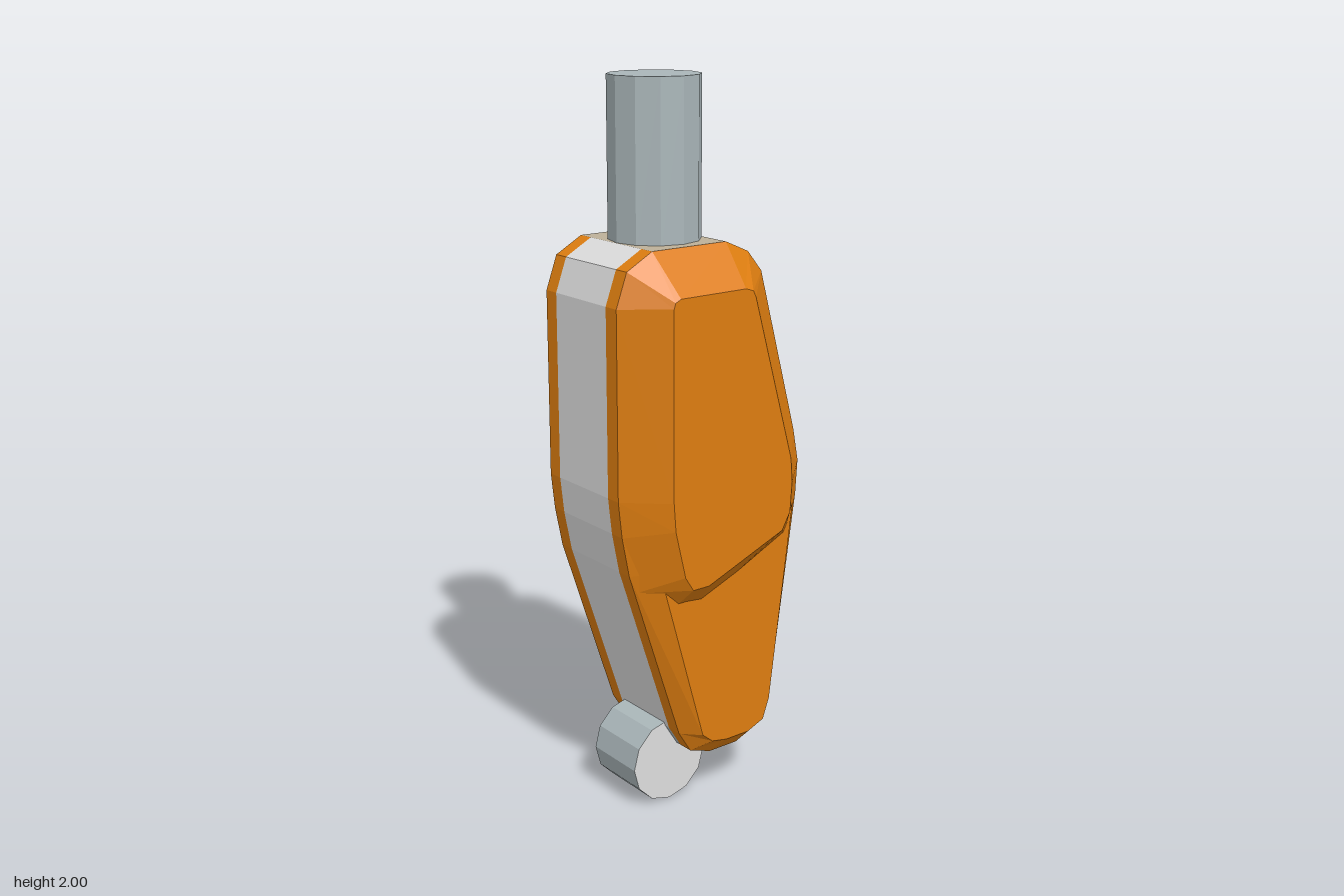
import * as THREE from 'three';

const mat = (name, color) => Object.assign(new THREE.MeshStandardMaterial({ color }), { name });

// Side outlines as [z, y], running down the front and up the back
const outline = [
  [0.196, 1.58], [0.275, 1.537], [0.308, 1.447], [0.308, 0.943], [0.297, 0.843], [0.275, 0.731],
  [0.11, 0.228], [0.07, 0.164], [0, 0.14], [-0.095, 0.14], [-0.18, 0.175], [-0.217, 0.25],
  [-0.302, 0.843], [-0.308, 0.94], [-0.29, 1.033], [-0.164, 1.49], [-0.117, 1.547], [-0.042, 1.58],
];
const upperRim = [
  [0.196, 1.58], [0.275, 1.537], [0.308, 1.447], [0.308, 0.943], [0.297, 0.843], [0.258, 0.68],
  [0.16, 0.59], [0.06, 0.58], [-0.262, 0.73], [-0.302, 0.843], [-0.308, 0.94], [-0.29, 1.033],
  [-0.164, 1.49], [-0.117, 1.547], [-0.042, 1.58],
];
const upperFace = [
  [0.18, 1.473], [0.197, 1.465], [0.202, 1.45], [0.202, 0.943], [0.196, 0.864], [0.164, 0.731],
  [0.138, 0.69], [0.085, 0.69], [-0.17, 0.79], [-0.196, 0.837], [-0.202, 0.92], [-0.196, 0.99],
  [-0.064, 1.447], [-0.055, 1.465], [-0.03, 1.473],
];
const lowerRim = outline.slice(4, 13);
const lowerFace = [
  [0.238, 0.843], [0.21, 0.74], [0.064, 0.228], [0.03, 0.2], [-0.02, 0.19], [-0.1, 0.19],
  [-0.154, 0.212], [-0.175, 0.27], [-0.25, 0.843],
];

function flatGeometry(triangles) {
  const g = new THREE.BufferGeometry();
  g.setAttribute('position', new THREE.Float32BufferAttribute(triangles.flat(2), 3));
  g.computeVertexNormals();
  return g;
}

// Strip of quads between loop a at xa and loop b at xb, for the kept segments
function band(a, xa, b, xb, keep = () => true) {
  const out = [];
  a.forEach((p, i) => {
    if (!keep(i)) return;
    const j = (i + 1) % a.length;
    const A = [xa, p[1], p[0]], B = [xa, a[j][1], a[j][0]];
    const C = [xb, b[j][1], b[j][0]], D = [xb, b[i][1], b[i][0]];
    out.push([A, B, C], [A, C, D]);
  });
  return out;
}

// Flat cap facing +x
function cap(loop, x) {
  const v = loop.map(([z, y]) => [x, y, z]);
  return v.slice(2).map((p, i) => [v[0], v[i + 1], p]);
}

const mirror = (tris) => tris.map((t) => t.map(([x, y, z]) => [-x, y, z]).reverse());

export function createModel() {
  const orange = mat('orange shell', 0xdd7d10);
  const pale = mat('pale grey', 0xdddddd);
  const steel = mat('blue grey steel', 0xaab6b9);
  const tan = mat('tan grey top', 0xbdb099);
  const group = new THREE.Group();
  const add = (name, geometry, material) => {
    const m = new THREE.Mesh(geometry, material);
    m.name = name;
    group.add(m);
    return m;
  };

  // Central stripe, with its own underside and top plate
  const top = outline.length - 1;
  const isBottom = (i) => i >= 6 && i <= 10;
  add('centreStripe', flatGeometry(band(outline, -0.11, outline, 0.11, (i) => i !== top && !isBottom(i))), pale);
  add('stripeUnderside', flatGeometry(band(outline, -0.11, outline, 0.11, isBottom)), steel);
  add('topPlate', flatGeometry(band(outline, -0.155, outline, 0.155, (i) => i === top)), tan);

  // Shell halves: straight edge, wide upper bevel and narrow lower bevel
  const parts = {
    ShellEdge: band(outline, 0.11, outline, 0.155, (i) => i !== top),
    UpperShell: [...band(upperRim, 0.155, upperFace, 0.252), ...cap(upperFace, 0.252)],
    LowerShell: [...band(lowerRim, 0.155, lowerFace, 0.203), ...cap(lowerFace, 0.203)],
  };
  for (const [name, tris] of Object.entries(parts)) {
    add('left' + name, flatGeometry(tris), orange);
    add('right' + name, flatGeometry(mirror(tris)), orange);
  }

  // Faceted shaft at the top
  const shaft = new THREE.CylinderGeometry(0.123, 0.123, 0.45, 12).toNonIndexed();
  shaft.computeVertexNormals();
  add('topShaft', shaft, steel).position.set(0, 1.775, 0.07);

  // Pivot roller at the foot, with pale ends
  const roller = new THREE.CylinderGeometry(0.122, 0.122, 0.186, 12);
  const groups = roller.groups.map((g) => ({ ...g }));
  const flatRoller = roller.toNonIndexed();
  flatRoller.clearGroups();
  groups.forEach((g) => flatRoller.addGroup(g.start, g.count, g.materialIndex));
  flatRoller.computeVertexNormals();
  flatRoller.rotateZ(Math.PI / 2);
  add('footRoller', flatRoller, [steel, pale, pale]).position.set(0, 0.122, 0.096);

  return group;
}
